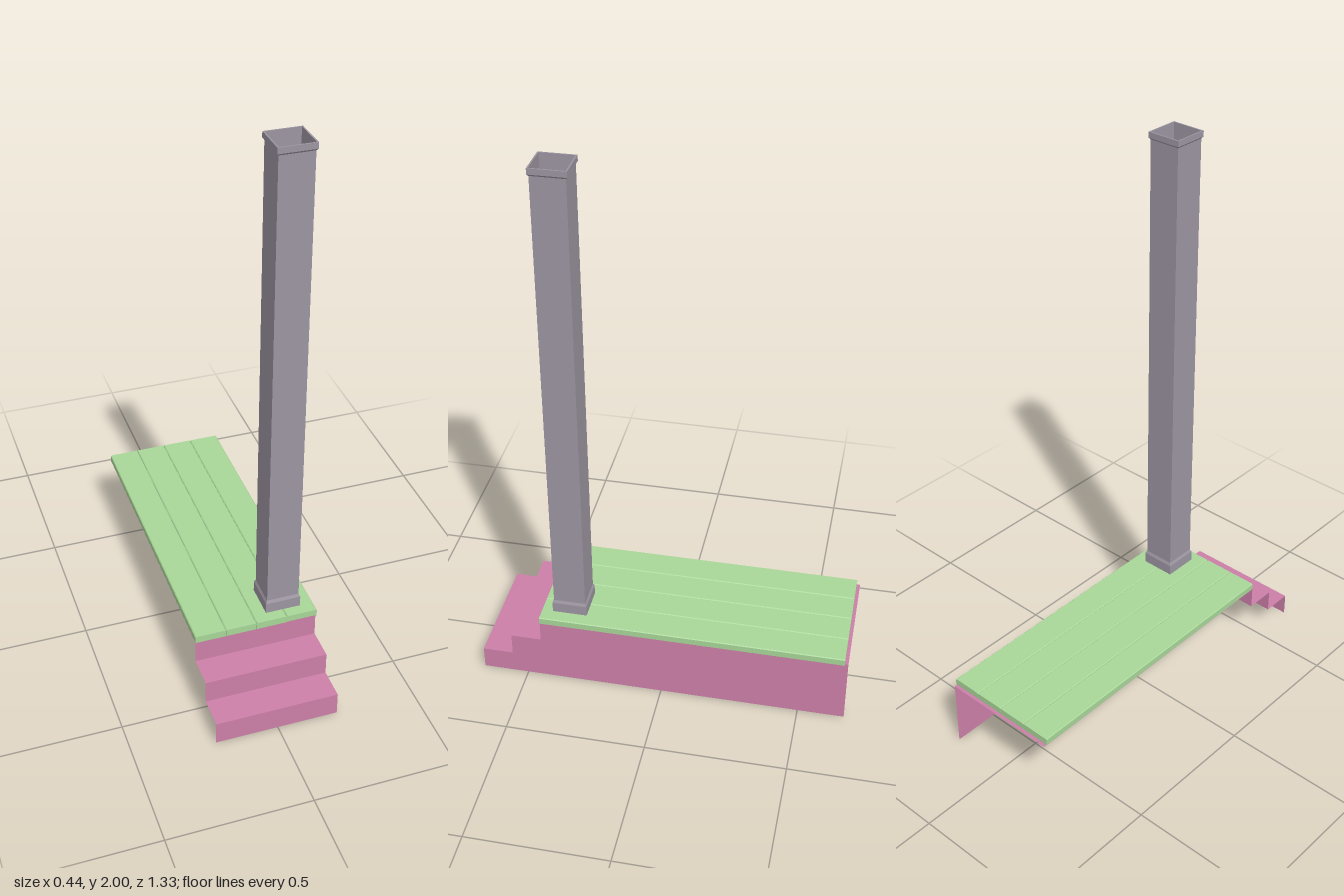
import * as THREE from 'three';

const mat = (color) => new THREE.MeshStandardMaterial({ color, flatShading: true, side: THREE.DoubleSide });
const pink = mat(0xcc7fa8), green = mat(0xa8d698), grey = mat(0x9c95a1);

function add(parent, name, geometry, material) {
  const mesh = new THREE.Mesh(geometry, material);
  mesh.name = name;
  parent.add(mesh);
  return mesh;
}

// Square open shell from [half width, height] pairs
function squareLathe(profile) {
  const points = profile.map(([half, y]) => new THREE.Vector2(half * Math.SQRT2, y));
  return new THREE.LatheGeometry(points, 4, Math.PI / 4);
}

export function createModel() {
  const model = new THREE.Group();
  model.name = 'porch';

  const x0 = -0.22, x1 = 0.215, width = x1 - x0, midX = (x0 + x1) / 2;
  const back = -0.667, rise = 0.084, run = 0.111, front = 0.667;

  // Stair sheets: risers and treads, the last tread running back under the deck
  const steps = new THREE.Group();
  steps.name = 'steps';
  model.add(steps);
  const outline = [[front, 0]];
  for (let i = 0; i < 3; i++) {
    const z = front - i * run, y = (i + 1) * rise;
    const zEnd = i < 2 ? z - run : back;
    add(steps, 'riser', new THREE.PlaneGeometry(width, rise), pink).position.set(midX, y - rise / 2, z);
    const tread = add(steps, 'tread', new THREE.PlaneGeometry(width, z - zEnd).rotateX(-Math.PI / 2), pink);
    tread.position.set(midX, y, (z + zEnd) / 2);
    outline.push([z, y], [zEnd, y]);
  }
  outline.push([back, 0]);

  // Stepped side wall on the left only
  const wallShape = new THREE.Shape(outline.map(([z, y]) => new THREE.Vector2(-z, y)));
  const wall = add(model, 'sideWall', new THREE.ShapeGeometry(wallShape).rotateY(Math.PI / 2), pink);
  wall.position.x = x1;

  // Four deck boards with bevelled top edges
  const deck = new THREE.Group();
  deck.name = 'deck';
  model.add(deck);
  const h = 0.0547, bottom = 0.25, top = 0.276, bevel = 0.003;
  const section = new THREE.Shape([
    [-h, bottom], [h, bottom], [h, top - bevel], [h - bevel, top], [-h + bevel, top], [-h, top - bevel],
  ].map(([x, y]) => new THREE.Vector2(x, y)));
  const boardGeometry = new THREE.ExtrudeGeometry(section, { depth: 1.1, bevelEnabled: false });
  for (let i = 0; i < 4; i++) {
    add(deck, 'board', boardGeometry, green).position.set(-0.165 + i * 0.11, 0, -0.655);
  }

  // Hollow square column with base moulding and cap
  const column = new THREE.Group();
  column.name = 'column';
  column.position.set(0.11, 0, 0.343);
  model.add(column);
  const s = 0.0575, m = 0.0625;
  add(column, 'shaft', squareLathe([[s, 0.276], [s, 2]]), grey);
  add(column, 'base', squareLathe([[m, 0.276], [m, 0.315], [s, 0.326]]), grey);
  add(column, 'cap', squareLathe([[s, 1.974], [m, 1.98], [m, 2], [s, 2]]), grey);

  return model;
}
